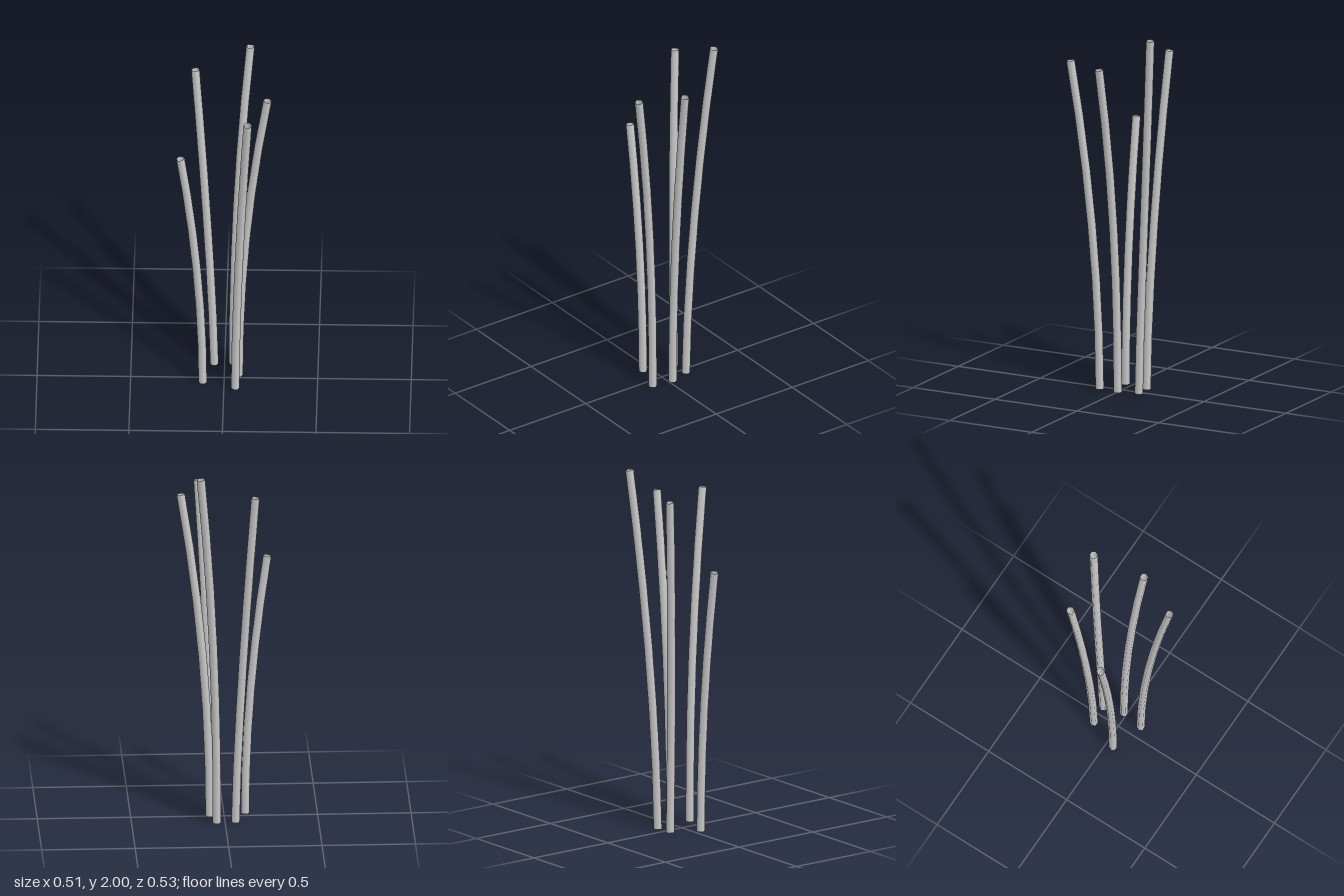
import * as THREE from 'three';

const RADIUS = 0.0225;
const UP = new THREE.Vector3(0, 1, 0);

// base and tip positions [x, y, z]; bend = how late the stem leans out along x and z
const STEMS = [
  { name: 'leftFrontStem', base: [-0.114, 0.003, 0.041], tip: [-0.233, 1.46, 0.041], bend: [1.9, 1] },
  { name: 'leftBackStem', base: [-0.055, 0.01, -0.12], tip: [-0.158, 1.872, -0.202], bend: [1.35, 1.8] },
  { name: 'rightBackStem', base: [0.045, 0.01, -0.127], tip: [0.136, 1.997, -0.247], bend: [2.1, 1.4] },
  { name: 'rightStem', base: [0.078, 0.01, -0.016], tip: [0.232, 1.825, 0.013], bend: [2, 2.6] },
  { name: 'rightFrontStem', base: [0.061, 0.01, 0.103], tip: [0.13, 1.825, 0.243], bend: [1.6, 1.95] },
];

// open hexagonal tube, bent along its leaning centre line
function makeStem({ name, base, tip, bend }, material) {
  const centre = (t) => new THREE.Vector3(
    base[0] + (tip[0] - base[0]) * t ** bend[0],
    base[1] + (tip[1] - base[1]) * t,
    base[2] + (tip[2] - base[2]) * t ** bend[1],
  );
  const geometry = new THREE.CylinderGeometry(RADIUS, RADIUS, 1, 6, 6, true, Math.PI / 2);
  const { position, normal } = geometry.attributes;
  const v = new THREE.Vector3();
  const turn = new THREE.Quaternion();
  for (let i = 0; i < position.count; i++) {
    const t = position.getY(i) + 0.5;
    const tangent = centre(Math.min(t + 0.04, 1)).sub(centre(Math.max(t - 0.04, 0))).normalize();
    turn.setFromUnitVectors(UP, tangent);
    v.fromBufferAttribute(position, i).setY(0).applyQuaternion(turn).add(centre(t));
    position.setXYZ(i, v.x, v.y, v.z);
    v.fromBufferAttribute(normal, i).applyQuaternion(turn);
    normal.setXYZ(i, v.x, v.y, v.z);
  }
  const mesh = new THREE.Mesh(geometry, material);
  mesh.name = name;
  return mesh;
}

export function createModel() {
  const group = new THREE.Group();
  group.name = 'stems';
  const material = new THREE.MeshStandardMaterial({ color: 0xcccccc, side: THREE.DoubleSide });
  for (const stem of STEMS) group.add(makeStem(stem, material));
  return group;
}
